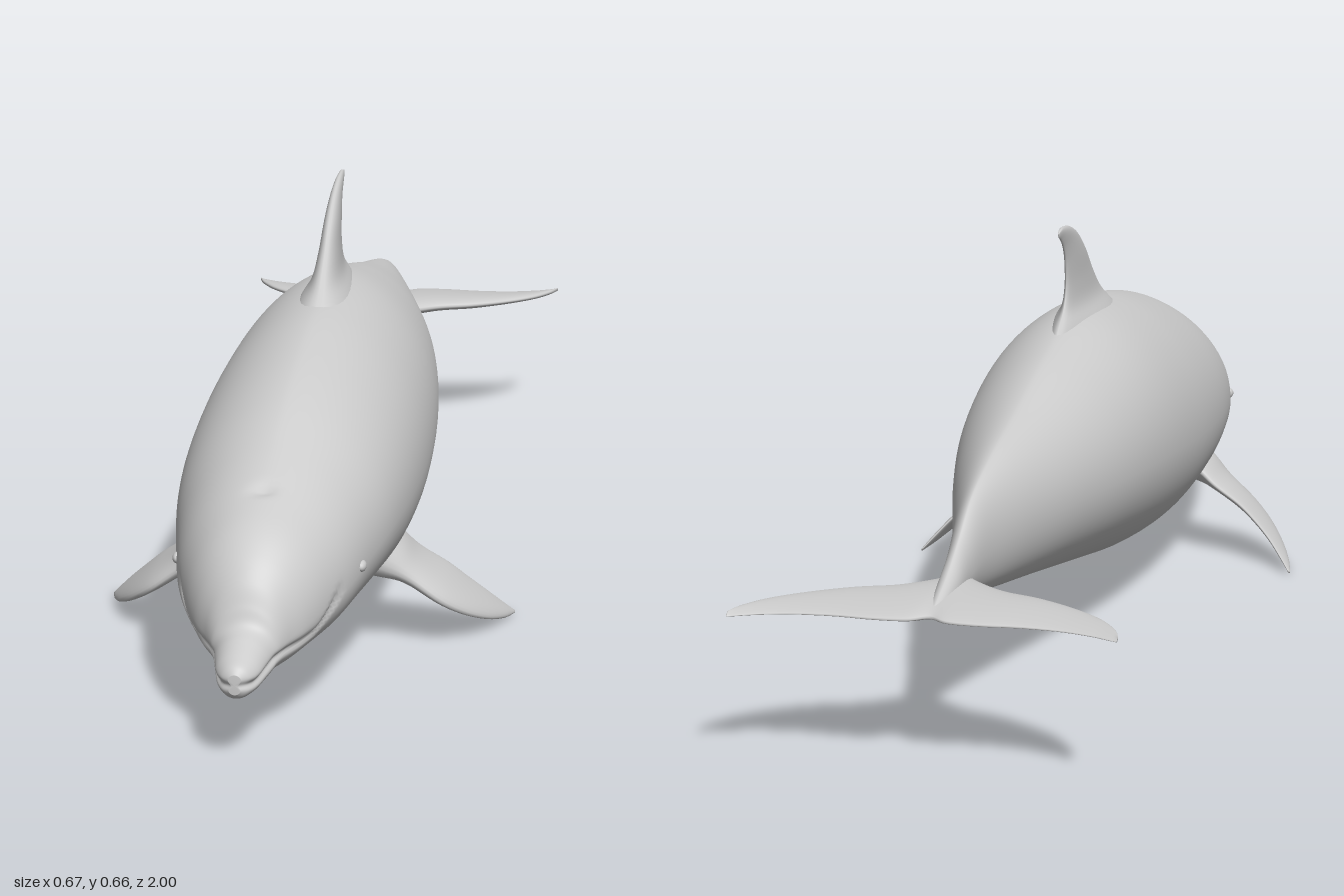
import * as THREE from 'three';

const material = new THREE.MeshStandardMaterial({ color: 0xcccccc });

// Smooth interpolation through rows of numbers, u in 0..1
function sample(rows, u) {
  const f = u * (rows.length - 1);
  const i = Math.min(Math.floor(f), rows.length - 2), t = f - i;
  const row = (k) => rows[THREE.MathUtils.clamp(k, 0, rows.length - 1)];
  const [a, b, c, d] = [row(i - 1), row(i), row(i + 1), row(i + 2)];
  return b.map((_, k) => 0.5 * (2 * b[k] + (c[k] - a[k]) * t
    + (2 * a[k] - 5 * b[k] + 4 * c[k] - d[k]) * t * t
    + (3 * b[k] - a[k] - 3 * c[k] + d[k]) * t * t * t));
}

// Skin over closed rings of points with both ends capped
function loft(name, rings) {
  const n = rings[0].length, pos = [], idx = [];
  for (const ring of rings) for (const p of ring) pos.push(p.x, p.y, p.z);
  for (let r = 0; r < rings.length - 1; r++) {
    for (let j = 0; j < n; j++) {
      const a = r * n + j, b = r * n + (j + 1) % n;
      idx.push(a, b, a + n, b, b + n, a + n);
    }
  }
  for (const r of [0, rings.length - 1]) {
    const c = new THREE.Vector3();
    rings[r].forEach((p) => c.addScaledVector(p, 1 / n));
    const ci = pos.length / 3;
    pos.push(c.x, c.y, c.z);
    for (let j = 0; j < n; j++) {
      const a = r * n + j, b = r * n + (j + 1) % n;
      if (r === 0) idx.push(ci, b, a); else idx.push(ci, a, b);
    }
  }
  // Turn the faces outward if the enclosed volume is negative
  let volume = 0;
  const v = (i) => new THREE.Vector3().fromArray(pos, i * 3);
  for (let i = 0; i < idx.length; i += 3) volume += v(idx[i]).dot(v(idx[i + 1]).cross(v(idx[i + 2])));
  if (volume < 0) idx.reverse();
  const g = new THREE.BufferGeometry();
  g.setAttribute('position', new THREE.Float32BufferAttribute(pos, 3));
  g.setIndex(idx);
  g.computeVertexNormals();
  const mesh = new THREE.Mesh(g, material);
  mesh.name = name;
  return mesh;
}

// Fin from rows [lead x,y,z, trail x,y,z, half thickness]
function foil(name, rows, normal, steps = 40) {
  const rings = [];
  for (let s = 0; s <= steps; s++) {
    const r = sample(rows, s / steps);
    const lead = new THREE.Vector3(r[0], r[1], r[2]);
    const trail = new THREE.Vector3(r[3], r[4], r[5]);
    rings.push(Array.from({ length: 28 }, (_, j) => {
      const a = j / 28 * Math.PI * 2;
      const thick = r[6] * Math.sin(a) * (0.85 + 0.3 * Math.cos(a));
      return trail.clone().lerp(lead, 0.5 + 0.5 * Math.cos(a)).addScaledVector(normal, thick);
    }));
  }
  return loft(name, rings);
}

// Body stations: z, top, bottom, half width, height fraction of widest point
const BODY = [
  [1.0, 0.148, 0.118, 0.012, 0.5],
  [0.99, 0.159, 0.109, 0.024, 0.5],
  [0.97, 0.168, 0.107, 0.034, 0.48],
  [0.94, 0.181, 0.107, 0.041, 0.45],
  [0.915, 0.194, 0.108, 0.047, 0.43],
  [0.902, 0.220, 0.108, 0.053, 0.43],
  [0.885, 0.253, 0.108, 0.064, 0.42],
  [0.855, 0.287, 0.108, 0.086, 0.41],
  [0.81, 0.318, 0.108, 0.108, 0.41],
  [0.74, 0.346, 0.106, 0.132, 0.41],
  [0.64, 0.388, 0.102, 0.153, 0.42],
  [0.52, 0.434, 0.093, 0.174, 0.43],
  [0.38, 0.470, 0.076, 0.186, 0.44],
  [0.2, 0.500, 0.07, 0.188, 0.44],
  [0.0, 0.508, 0.09, 0.177, 0.44],
  [-0.2, 0.476, 0.125, 0.150, 0.45],
  [-0.4, 0.432, 0.16, 0.106, 0.47],
  [-0.57, 0.397, 0.188, 0.062, 0.48],
  [-0.69, 0.362, 0.21, 0.032, 0.46],
  [-0.77, 0.316, 0.225, 0.021, 0.42],
  [-0.83, 0.284, 0.231, 0.018, 0.4],
  [-0.88, 0.264, 0.235, 0.013, 0.4],
  [-0.92, 0.25, 0.24, 0.005, 0.5],
];

function createBody() {
  const rings = [], steps = 200, sides = 96;
  const bump = (d, w) => Math.exp(-(d * d) / (w * w));
  for (let s = 0; s <= steps; s++) {
    const [z, top, bottom, width, frac] = sample(BODY, s / steps);
    const mid = bottom + (top - bottom) * frac;
    // Trunk is slightly peaked along the back, the head is rounder
    const peak = 1 + 0.2 * (1 - THREE.MathUtils.smoothstep(z, 0.5, 0.85));
    const mouth = 0.132 + 0.2 * Math.max(0, 0.98 - z) + 0.55 * Math.max(0, 0.83 - z);
    const mouthDepth = 0.007 * THREE.MathUtils.smoothstep(z, 0.75, 0.79);
    rings.push(Array.from({ length: sides }, (_, j) => {
      const a = j / sides * Math.PI * 2, c = Math.cos(a), sn = Math.sin(a);
      let y = mid + sn * (sn > 0 ? top - mid : mid - bottom);
      let x = Math.sign(c) * width * Math.abs(c) ** (sn > 0 ? peak : 1);
      // Mouth groove and blowhole dent
      x -= Math.sign(c) * Math.min(Math.abs(x), mouthDepth * bump(y - mouth, 0.006));
      if (sn > 0) y -= 0.009 * bump(z - 0.73, 0.012) * bump(x, 0.018);
      return new THREE.Vector3(x, y, z);
    }));
  }
  return loft('body', rings);
}

const DORSAL = [
  [0, 0.45, 0.27, 0, 0.45, -0.16, 0.075],
  [0, 0.495, 0.21, 0, 0.495, -0.115, 0.046],
  [0, 0.525, 0.165, 0, 0.525, -0.07, 0.026],
  [0, 0.565, 0.115, 0, 0.56, -0.052, 0.018],
  [0, 0.61, 0.065, 0, 0.60, -0.055, 0.014],
  [0, 0.643, 0.015, 0, 0.628, -0.07, 0.010],
  [0, 0.661, -0.035, 0, 0.645, -0.09, 0.007],
  [0, 0.667, -0.08, 0, 0.654, -0.106, 0.004],
  [0, 0.664, -0.1, 0, 0.660, -0.108, 0.002],
];

const FLIPPER = [
  [0.10, 0.16, 0.48, 0.10, 0.19, 0.31, 0.05],
  [0.15, 0.137, 0.457, 0.15, 0.165, 0.32, 0.033],
  [0.185, 0.118, 0.445, 0.185, 0.137, 0.315, 0.02],
  [0.235, 0.08, 0.433, 0.23, 0.108, 0.306, 0.015],
  [0.272, 0.052, 0.40, 0.26, 0.083, 0.297, 0.012],
  [0.302, 0.029, 0.35, 0.29, 0.055, 0.28, 0.009],
  [0.323, 0.013, 0.295, 0.316, 0.027, 0.257, 0.006],
  [0.335, 0.005, 0.245, 0.332, 0.009, 0.24, 0.002],
];

// Fluke half sections: x, lead z, trail z, half thickness
const FLUKE = [
  [0, -0.735, -0.943, 0.02],
  [0.03, -0.768, -0.962, 0.017],
  [0.08, -0.808, -0.966, 0.014],
  [0.14, -0.832, -0.962, 0.012],
  [0.20, -0.868, -0.967, 0.009],
  [0.25, -0.912, -0.981, 0.007],
  [0.28, -0.956, -0.995, 0.005],
  [0.292, -0.988, -1.0, 0.003],
];

export function createModel() {
  const model = new THREE.Group();
  model.name = 'dolphin';
  model.add(createBody());
  model.add(foil('dorsalFin', DORSAL, new THREE.Vector3(1, 0, 0)));

  // Tail flukes in one piece from tip to tip
  const half = FLUKE.map(([x, l, t, h]) => [x, 0.247, l, x, 0.243, t, h]);
  const mirrored = half.slice(1).reverse().map((r) => [-r[0], r[1], r[2], -r[3], ...r.slice(4)]);
  model.add(foil('tailFlukes', [...mirrored, ...half], new THREE.Vector3(0, 1, 0), 84));

  // Flippers and eyes on both sides
  for (const [side, s] of [['left', 1], ['right', -1]]) {
    const rows = FLIPPER.map((r) => [s * r[0], r[1], r[2], s * r[3], ...r.slice(4)]);
    model.add(foil(side + 'Flipper', rows, new THREE.Vector3(0.6 * s, 0.8, 0)));
    const eye = new THREE.Mesh(new THREE.SphereGeometry(1, 20, 14), material);
    eye.name = side + 'Eye';
    eye.scale.set(0.008, 0.009, 0.014);
    eye.position.set(s * 0.142, 0.22, 0.685);
    model.add(eye);
  }
  return model;
}
